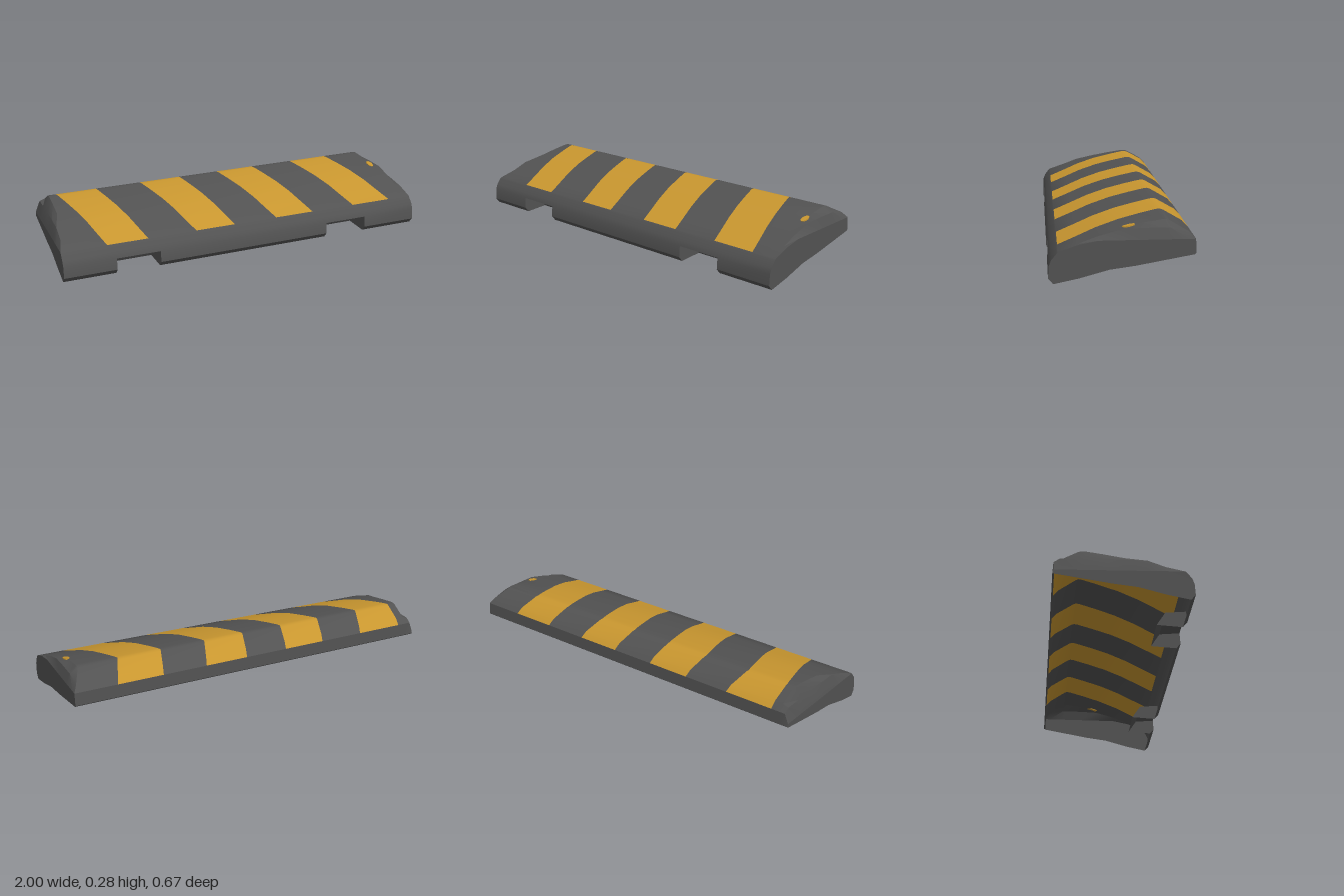
import * as THREE from 'three';
import { toCreasedNormals } from 'three/addons/utils/BufferGeometryUtils.js';

// Cross-sections as [z, y], running from the front over the top to the back
const FRONT = [[0.312, 0.004], [0.335, 0.03], [0.331, 0.088], [0.32, 0.115], [0.295, 0.145]];
const TOP = [[0.295, 0.145], [0.29, 0.151], [0.2, 0.183], [0.11, 0.216], [0, 0.246], [-0.1, 0.265],
  [-0.18, 0.278], [-0.2, 0.279], [-0.215, 0.275], [-0.3, 0.23], [-0.329, 0.2]];
const BACK = [[-0.329, 0.2], [-0.333, 0.135], [-0.325, 0.128]];
const BELOW = [[-0.06, 0.081], [0.06, 0.065], [0.2, 0.027]];

// Stripe edges (left and right x) at the front, the ridge and the back
const STRIPES = [
  [[-0.765, -0.55], [-0.885, -0.668], [-0.875, -0.62]],
  [[-0.29, -0.075], [-0.42, -0.19], [-0.38, -0.155]],
  [[0.166, 0.385], [0.037, 0.257], [0.075, 0.305]],
  [[0.636, 0.866], [0.5, 0.73], [0.54, 0.78]],
];
const NOTCHES = [[-0.73, -0.5], [0.45, 0.69]];
const CAPS = [0.15, 0.22, 0.28, 0.28, 0.25, 0.2]; // height limits of the rounded ends

const rubber = new THREE.MeshStandardMaterial({ color: 0x525252, side: THREE.DoubleSide });
rubber.name = 'dark rubber';
const yellow = new THREE.MeshStandardMaterial({ color: 0xc8962f, side: THREE.DoubleSide });
yellow.name = 'warning yellow';

const leftEnd = (z) => -1 + 0.03 * THREE.MathUtils.clamp((0.31 - z) / 0.64, 0, 1);

// The front edge tapers slightly along the length
const place = (x, y, z) => [x, y, z > 0 ? z + (x - 1) * 0.03 * z : z];

function stripeEdge([a, b, c], side, z) {
  return z > -0.2
    ? THREE.MathUtils.mapLinear(z, 0.29, -0.2, a[side], b[side])
    : THREE.MathUtils.mapLinear(z, -0.2, -0.33, b[side], c[side]);
}

// Lofts rows of points, keeping only the chosen cells
function surface(rows, keep) {
  const pos = [];
  for (let r = 0; r < rows.length - 1; r++) {
    for (let c = 0; c < rows[r].length - 1; c++) {
      if (!keep(r, c)) continue;
      const a = rows[r][c], b = rows[r][c + 1], d = rows[r + 1][c], e = rows[r + 1][c + 1];
      pos.push(...a, ...b, ...e, ...a, ...e, ...d);
    }
  }
  const g = new THREE.BufferGeometry();
  g.setAttribute('position', new THREE.Float32BufferAttribute(pos, 3));
  return toCreasedNormals(g, 0.55);
}

// Flat wall from a [z, y] outline, standing at x(z)
function wall(outline, xAt) {
  const g = new THREE.ShapeGeometry(new THREE.Shape(outline.map(([z, y]) => new THREE.Vector2(z, y))));
  const p = g.attributes.position;
  for (let i = 0; i < p.count; i++) {
    const z = p.getX(i), y = p.getY(i);
    p.setXYZ(i, ...place(xAt(z), y, z));
  }
  g.computeVertexNormals();
  return g;
}

export function createModel() {
  const model = new THREE.Group();
  model.name = 'speedBump';
  const add = (name, geometry, material) => {
    const m = new THREE.Mesh(geometry, material);
    m.name = name;
    model.add(m);
    return m;
  };

  // Curved top with rounded ends, divided along the stripe edges
  const topRow = ([z, y]) => {
    const l = leftEnd(z);
    const edges = STRIPES.flatMap((s) => [stripeEdge(s, 0, z), stripeEdge(s, 1, z)]);
    const xs = [l, l + 0.02, l + 0.05, ...edges, 0.94, 0.98, 1];
    return xs.map((x, i) => {
      const cap = i < 3 ? CAPS[i] : i >= xs.length - 3 ? CAPS[i - xs.length + 6] : 1;
      return place(x, Math.min(y, cap), z);
    });
  };
  const topRows = TOP.map(topRow);
  const isStripe = (r, c) => r > 0 && c >= 3 && c <= 9 && c % 2 === 1;
  add('top', surface(topRows, (r, c) => !isStripe(r, c)), rubber);
  for (let i = 0; i < STRIPES.length; i++) {
    add(`stripe${i + 1}`, surface(topRows, (r, c) => isStripe(r, c) && c === 3 + 2 * i), yellow);
  }
  add('backWall', surface(BACK.map(topRow), () => true), rubber);

  // Front wall with two openings along its lower edge
  const frontRows = FRONT.map(([z, y]) =>
    [leftEnd(z), ...NOTCHES.flat(), 1].map((x) => place(x, y, z)));
  add('frontWall', surface(frontRows, (r, c) => r > 1 || c % 2 === 0), rubber);

  // End walls
  const endOutline = (cap) => [...FRONT, ...TOP.slice(1), ...BACK.slice(1), ...BELOW]
    .map(([z, y]) => [z, Math.min(y, cap)]);
  add('rightEnd', wall(endOutline(CAPS[0]), leftEnd), rubber);
  add('leftEnd', wall(endOutline(CAPS[5]), () => 1), rubber);

  // Pockets behind the front openings
  const pocket = [[0.331, 0.088], [0.225, 0.078], [0.18, 0.011]];
  NOTCHES.forEach((span, i) => {
    const rows = pocket.map(([z, y]) => span.map((x) => place(x, y, z)));
    add(`pocket${i + 1}`, surface(rows, () => true), rubber);
    for (const x of span) {
      add(`pocketSide${i + 1}`, wall([...FRONT.slice(0, 3), ...pocket.slice(1)], () => x), rubber);
    }
  });

  // Small paint spot near one end
  const spot = add('paintSpot', new THREE.CylinderGeometry(0.016, 0.016, 0.006, 7), yellow);
  spot.scale.z = 2;
  spot.position.set(0.94, 0.252, -0.03);
  spot.rotation.x = 0.22;

  return model;
}
